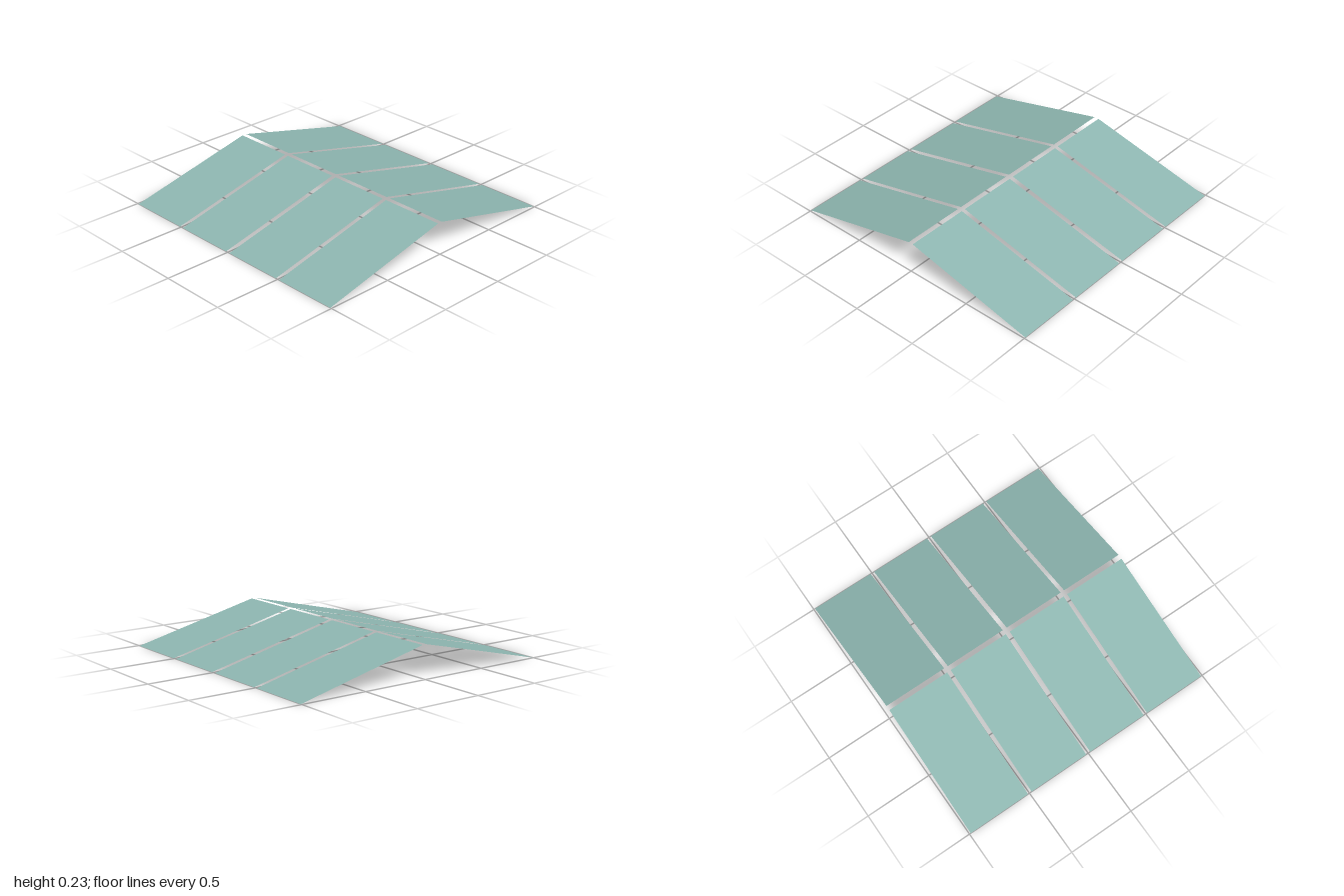
import * as THREE from 'three';

const RIDGE_X = 0.018, EAVE_X = 1, RIDGE_Y = 0.233;
// [z start, z end] of each row of panes
const ROWS = [[-0.99, -0.512], [-0.482, -0.017], [0.017, 0.482], [0.512, 0.99]];

export function createModel() {
  const model = new THREE.Group();
  model.name = 'gabledPanelRoof';
  const material = new THREE.MeshStandardMaterial({ color: 0x8fb8b2, side: THREE.DoubleSide });

  const run = EAVE_X - RIDGE_X;
  const slopeLength = Math.hypot(run, RIDGE_Y);
  const pitch = Math.atan2(RIDGE_Y, run);

  // Two mirrored slopes of thin flat panes, open at the ridge
  for (const [side, name] of [[1, 'left'], [-1, 'right']]) {
    const slope = new THREE.Group();
    slope.name = `${name}Slope`;
    slope.position.set(side * (RIDGE_X + EAVE_X) / 2, RIDGE_Y / 2, 0);
    slope.rotation.z = -side * pitch;

    ROWS.forEach(([z0, z1], i) => {
      const geometry = new THREE.PlaneGeometry(slopeLength, z1 - z0).rotateX(-Math.PI / 2);
      const pane = new THREE.Mesh(geometry, material);
      pane.name = `${name}RoofPane${i + 1}`;
      pane.position.z = (z0 + z1) / 2;
      slope.add(pane);
    });
    model.add(slope);
  }
  return model;
}
